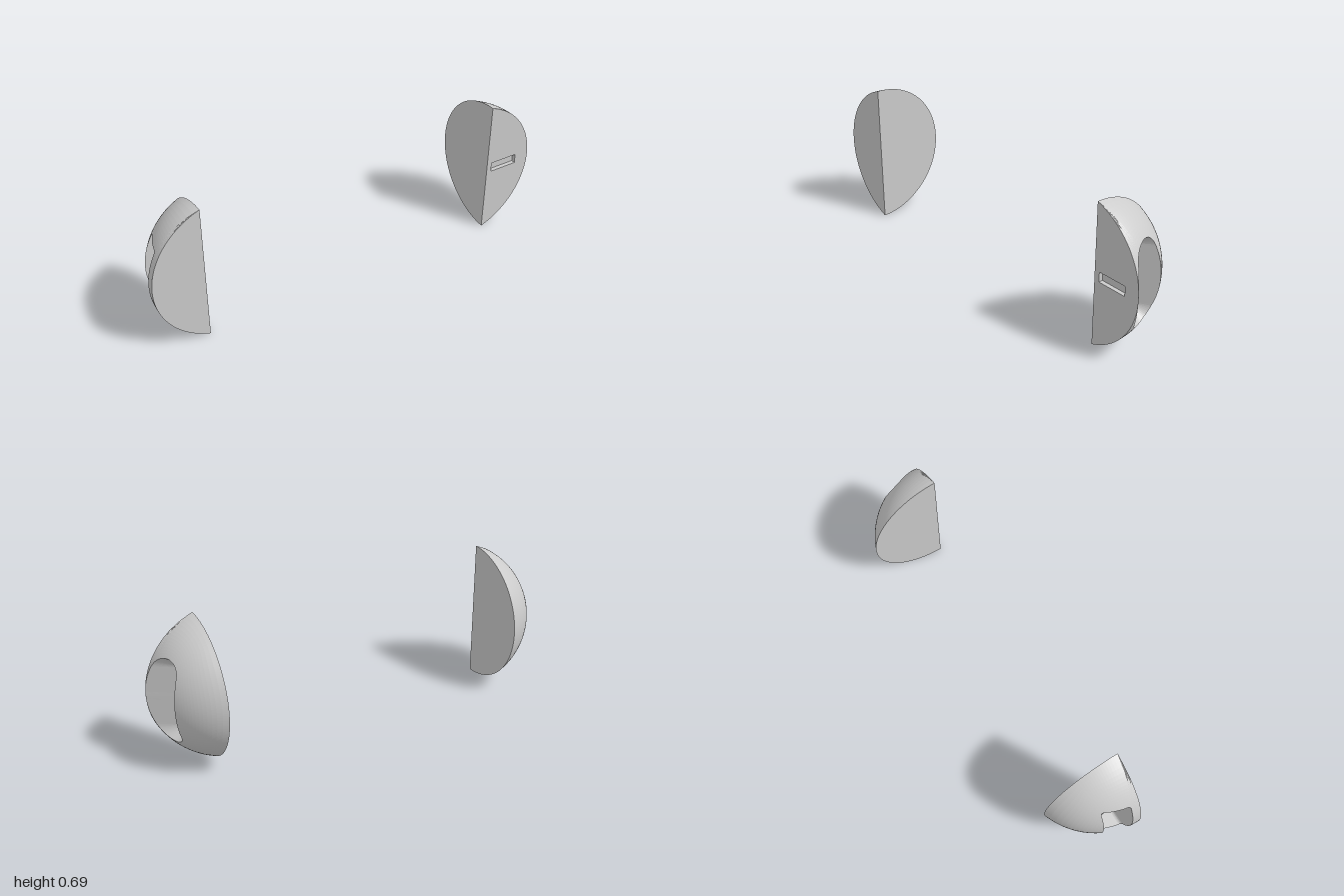
import * as THREE from 'three';

// Spherical dome: centre (CX, CY, ZF), cut flat at x = XB and at the front z = ZF
const R = 0.366, CX = 0.634, CY = 0.346, ZF = 0.173, XB = 0.754, RIM = 0.346;
const N = 160, DOME_RINGS = 14;

const domeX = (z, y) => CX + Math.sqrt(Math.max(R * R - (z - ZF) ** 2 - (y - CY) ** 2, (XB - CX) ** 2));
const clamp = (v, a, b) => Math.min(Math.max(v, a), b);

function makeMesh(geometry, name) {
  const material = new THREE.MeshStandardMaterial({ color: 0xcccccc, flatShading: true });
  const mesh = new THREE.Mesh(geometry, material);
  mesh.name = name;
  return mesh;
}

// Skin a list of closed rings; side = -1 mirrors the result in x
function loft(rings, side) {
  const n = rings[0].length, index = [];
  const positions = rings.flat().flatMap(([x, y, z]) => [x * side, y, z]);
  for (let k = 0; k < rings.length - 1; k++) {
    for (let i = 0; i < n; i++) {
      const j = (i + 1) % n, a = k * n, b = a + n;
      const tris = [[a + i, b + i, a + j], [b + i, b + j, a + j]];
      for (const [p, q, r] of tris) index.push(...(side > 0 ? [p, q, r] : [p, r, q]));
    }
  }
  const g = new THREE.BufferGeometry();
  g.setAttribute('position', new THREE.Float32BufferAttribute(positions, 3));
  g.setIndex(index);
  g.computeVertexNormals();
  return g;
}

// Distance along a ray from (zc, yc) to the half-disc outline
function outlineDistance(zc, yc, dz, dy) {
  const z = zc - ZF, y = yc - CY;
  const b = z * dz + y * dy;
  const round = -b + Math.sqrt(b * b - (z * z + y * y - RIM * RIM));
  return dz > 1e-6 ? Math.min(round, -z / dz) : round;
}

// Flared slot: a capsule that widens outward
const flaredSlot = {
  zc: 0.055, yc: 0.347, floorX: 0.85, half: 0.142, floorRadius: 0.016,
  inside(z, y) {
    const dy = y - this.yc - clamp(y - this.yc, -this.half, this.half);
    return Math.hypot(z - this.zc, dy) < this.floorRadius + 0.68 * (domeX(z, y) - this.floorX);
  },
  floorPoint(z, y) {
    const py = this.yc + clamp(y - this.yc, -this.half, this.half);
    const k = this.floorRadius / Math.hypot(z - this.zc, y - py);
    return [this.floorX, py + (y - py) * k, this.zc + (z - this.zc) * k];
  },
};

// Straight-walled recess: a rectangle with small rounded corners
const straightRecess = {
  zc: 0.068, yc: 0.346, floorX: 0.87, halfZ: 0.063, halfY: 0.178, corner: 0.015,
  inside(z, y) {
    const a = Math.abs(z - this.zc) - this.halfZ + this.corner;
    const b = Math.abs(y - this.yc) - this.halfY + this.corner;
    return Math.hypot(Math.max(a, 0), Math.max(b, 0)) < this.corner;
  },
  floorPoint(z, y) { return [this.floorX, y, z]; },
};

function buildHalf(side, cavity, name) {
  const group = new THREE.Group();
  group.name = name;
  const { zc, yc } = cavity;

  // Ray angles, including the two sharp tips of the outline
  const angles = Array.from({ length: N }, (_, i) => (i / N) * Math.PI * 2 - Math.PI);
  for (const tip of [-RIM, RIM]) angles.push(Math.atan2(CY + tip - yc, ZF - zc));
  if (cavity.halfZ) {
    for (const u of [-1, 1]) for (const v of [-1, 1])
      for (const [p, q] of [[0, 1], [0.3, 0.3], [1, 0]])
        angles.push(Math.atan2(v * (cavity.halfY - p * cavity.corner), u * (cavity.halfZ - q * cavity.corner)));
  }
  angles.sort((a, b) => a - b);

  // Find the cavity mouth along each ray by bisection
  const rays = angles.map((t) => {
    const dz = Math.cos(t), dy = Math.sin(t);
    const outer = outlineDistance(zc, yc, dz, dy);
    let lo = 0, hi = outer * 0.997;
    for (let k = 0; k < 40; k++) {
      const mid = (lo + hi) / 2;
      if (cavity.inside(zc + dz * mid, yc + dy * mid)) lo = mid; else hi = mid;
    }
    return { dz, dy, outer, mouth: hi };
  });
  const ringAt = (f) => rays.map(({ dz, dy, outer, mouth }) => {
    const d = outer + (mouth - outer) * f, z = zc + dz * d, y = yc + dy * d;
    return [domeX(z, y), y, z];
  });
  const domeRings = Array.from({ length: DOME_RINGS + 1 }, (_, k) => ringAt(k / DOME_RINGS));
  const mouthRing = domeRings[DOME_RINGS];
  const floorRing = mouthRing.map(([, y, z]) => cavity.floorPoint(z, y));
  const floorCentre = floorRing.map(() => [cavity.floorX, yc, zc]);
  const baseRing = domeRings[0].map(([, y, z]) => [XB, y, z]);
  const baseCentre = baseRing.map(() => [XB, yc, zc]);

  group.add(makeMesh(loft(domeRings, side), 'domeShell'));
  group.add(makeMesh(loft([mouthRing, floorRing], side), 'cavityWall'));
  group.add(makeMesh(loft([floorRing, floorCentre], side), 'cavityFloor'));
  group.add(makeMesh(loft([baseCentre, baseRing], side), 'innerFace'));

  // Flat front face, with a shallow slot on the left half
  const reach = Math.acos((XB - CX) / R);
  const outline = Array.from({ length: 65 }, (_, i) => {
    const a = -reach + (2 * reach * i) / 64;
    return new THREE.Vector2(side * (CX + R * Math.cos(a)), CY + R * Math.sin(a));
  });
  const face = new THREE.Shape(outline);
  if (side > 0) {
    const slot = [[0.78, 0.325], [0.78, 0.373], [0.925, 0.373], [0.925, 0.325]];
    face.holes.push(new THREE.Path(slot.map(([x, y]) => new THREE.Vector2(x, y))));
    const slotRing = (z) => slot.map(([x, y]) => [x, y, z]);
    const slotCentre = slot.map(() => [0.8525, 0.349, ZF - 0.02]);
    group.add(makeMesh(loft([slotRing(ZF), slotRing(ZF - 0.02), slotCentre], 1), 'frontSlot'));
  }
  const front = makeMesh(new THREE.ShapeGeometry(face), 'frontFace');
  front.position.z = ZF;
  group.add(front);
  return group;
}

export function createModel() {
  const model = new THREE.Group();
  model.name = 'domePair';
  model.add(buildHalf(1, flaredSlot, 'leftDome'));
  model.add(buildHalf(-1, straightRecess, 'rightDome'));
  return model;
}
